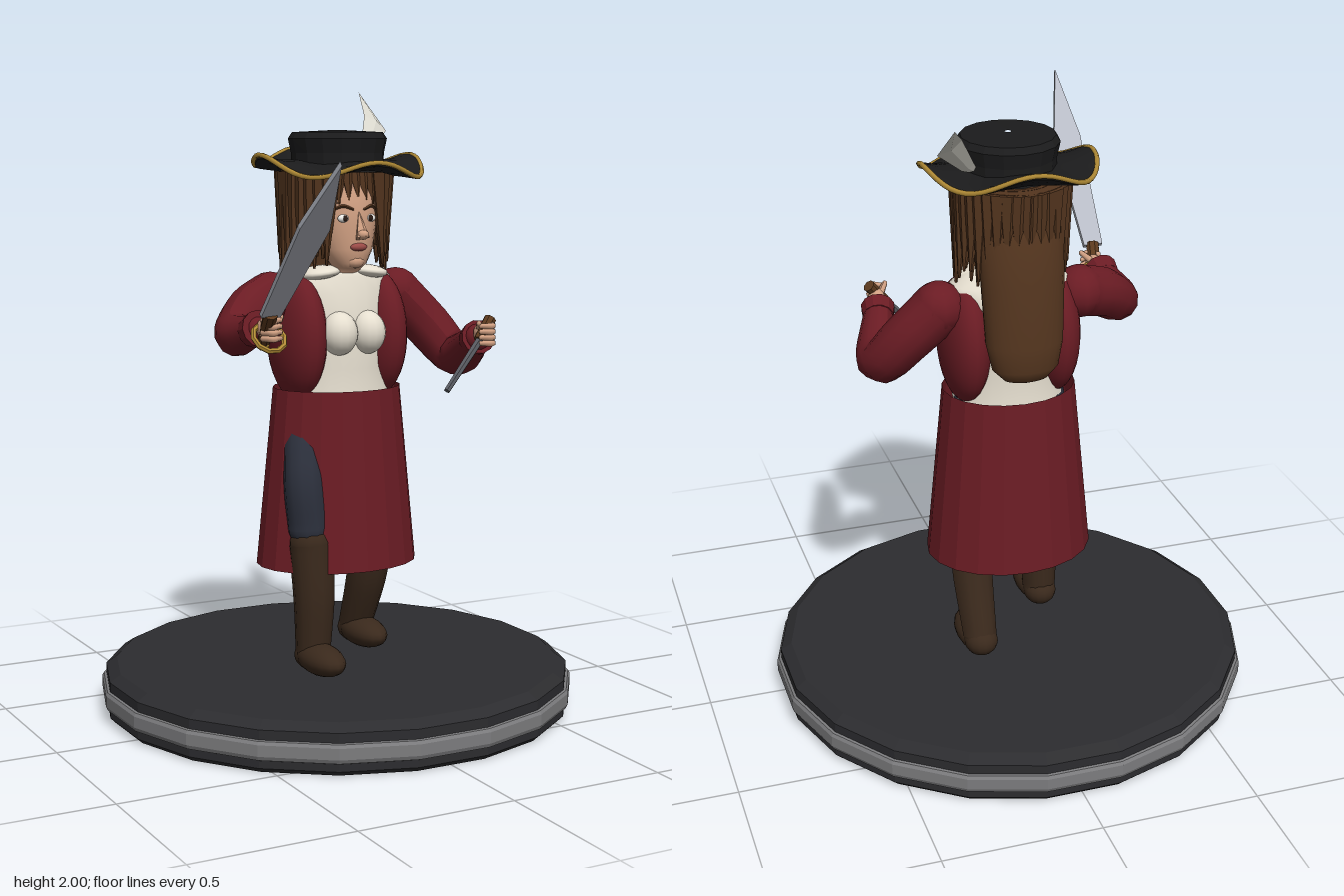
import * as THREE from 'three';
import { mergeVertices } from 'three/addons/utils/BufferGeometryUtils.js';

const V = (a) => new THREE.Vector3(...a);
const C = {
  coat: 0x6b1c24, shirt: 0xe6dfd0, skin: 0xd2a183, hair: 0x55361f, boot: 0x3a291c, hat: 0x1b1b1c,
  gold: 0xb08a35, pants: 0x2c303c, steel: 0xb6bac4, iron: 0x5a5c62, wood: 0x5c3a1e, base: 0x2c2c2f,
  band: 0x7c7c7e, dark: 0x2a1c16, lip: 0x9c4c48, white: 0xf0eeea, feather: 0xd8d6cc,
};

function mesh(parent, name, geo, color, opts = {}) {
  const mat = new THREE.MeshStandardMaterial({ color, ...opts });
  const m = new THREE.Mesh(geo, mat);
  m.name = name;
  parent.add(m);
  return m;
}

function ball(parent, name, p, r, color, seg = 16) {
  const m = mesh(parent, name, new THREE.SphereGeometry(1, seg, Math.ceil(seg * 0.7)), color);
  m.position.set(...p);
  m.scale.set(...r);
  return m;
}

// Stack of horizontal ellipses, each ring = [y, rx, rz, cz]
function loft(rings, seg = 24) {
  const g = new THREE.LatheGeometry(rings.map((_, i) => new THREE.Vector2(1, i)), seg);
  const p = g.attributes.position;
  for (let i = 0; i < p.count; i++) {
    const [y, rx, rz, cz] = rings[Math.round(p.getY(i))];
    p.setXYZ(i, p.getX(i) * rx, y, p.getZ(i) * rz + cz);
  }
  g.deleteAttribute('normal');
  g.deleteAttribute('uv');
  const merged = mergeVertices(g);
  merged.computeVertexNormals();
  return merged;
}

// Tapered tube with rounded ends, through points with evenly spread radii
function limb(parent, name, pts, radii, color, seg = 12) {
  const group = new THREE.Group();
  group.name = name;
  parent.add(group);
  const path = new THREE.CatmullRomCurve3(pts.map(V));
  const n = 14;
  const g = new THREE.TubeGeometry(path, n, 1, seg);
  const p = g.attributes.position;
  const v = new THREE.Vector3();
  for (let i = 0; i < p.count; i++) {
    const u = Math.floor(i / (seg + 1)) / n;
    const f = u * (radii.length - 1);
    const k = Math.min(Math.floor(f), radii.length - 2);
    const r = THREE.MathUtils.lerp(radii[k], radii[k + 1], f - k);
    const c = path.getPointAt(u);
    v.fromBufferAttribute(p, i).sub(c).multiplyScalar(r).add(c);
    p.setXYZ(i, v.x, v.y, v.z);
  }
  g.computeVertexNormals();
  mesh(group, name + 'Tube', g, color);
  [[pts[0], radii[0]], [pts.at(-1), radii.at(-1)]].forEach(([q, r]) => ball(group, name + 'End', q, [r, r, r], color, seg));
  return group;
}

function rod(parent, name, a, b, ra, rb, color, seg = 8) {
  const d = V(b).sub(V(a));
  const m = mesh(parent, name, new THREE.CylinderGeometry(rb, ra, d.length(), seg), color, { flatShading: true });
  m.position.copy(V(a)).addScaledVector(d, 0.5);
  m.quaternion.setFromUnitVectors(new THREE.Vector3(0, 1, 0), d.normalize());
  return m;
}

function buildBase(root) {
  const disc = (name, pts, color) => {
    const g = new THREE.LatheGeometry(pts.map((q) => new THREE.Vector2(...q)), 20).rotateY(Math.PI / 20);
    mesh(root, name, g, color, { flatShading: true }).position.z = -0.08;
  };
  disc('baseBottom', [[0, 0], [0.745, 0], [0.76, 0.015], [0.76, 0.04]], C.base);
  disc('baseBand', [[0.75, 0.035], [0.768, 0.042], [0.774, 0.055], [0.774, 0.09], [0.768, 0.1], [0.74, 0.107]], C.band);
  disc('baseTop', [[0.76, 0.1], [0.76, 0.132], [0.725, 0.155], [0, 0.155]], C.base);
}

function buildLegs(root) {
  limb(root, 'rightTrouser', [[-0.11, 1.0, -0.08], [-0.17, 0.78, 0.025], [-0.16, 0.62, 0.035]], [0.075, 0.065, 0.068], C.pants);
  limb(root, 'leftTrouser', [[0.11, 1.0, -0.08], [0.135, 0.78, -0.07], [0.135, 0.6, -0.08]], [0.075, 0.065, 0.068], C.pants);
  limb(root, 'rightBoot', [[-0.155, 0.57, 0.04], [-0.15, 0.4, 0.052], [-0.15, 0.22, 0.045]], [0.072, 0.066, 0.056], C.boot);
  limb(root, 'leftBoot', [[0.135, 0.57, -0.08], [0.135, 0.42, -0.115], [0.135, 0.22, -0.2]], [0.07, 0.066, 0.056], C.boot);
  [['right', -0.15, 0.1], ['left', 0.135, -0.145]].forEach(([s, x, z]) => {
    ball(root, s + 'Foot', [x, 0.205, z], [0.063, 0.05, 0.125], C.boot);
    ball(root, s + 'Heel', [x, 0.205, z - 0.065], [0.055, 0.05, 0.06], C.boot);
  });
}

function buildBody(root) {
  // Open skirt of flat panels
  const skirt = loft([[0.48, 0.27, 0.22, -0.08], [1.055, 0.213, 0.176, -0.078]], 20);
  mesh(root, 'skirt', skirt, C.coat, { flatShading: true, side: THREE.DoubleSide });
  mesh(root, 'shirt', loft([
    [1.02, 0.18, 0.13, -0.07], [1.12, 0.16, 0.12, -0.07], [1.25, 0.17, 0.13, -0.075],
    [1.36, 0.2, 0.115, -0.085], [1.41, 0.19, 0.1, -0.085], [1.435, 0.13, 0.085, -0.08], [1.44, 0.05, 0.05, -0.07],
  ]), C.shirt);
  [-1, 1].forEach((s) => {
    ball(root, 'bust', [s * 0.05, 1.235, 0.035], [0.06, 0.07, 0.065], C.shirt);
    ball(root, 'jacketSide', [s * 0.145, 1.22, -0.075], [0.079, 0.205, 0.15], C.coat, 24);
    const collar = ball(root, 'collar', [s * 0.085, 1.425, -0.035], [0.07, 0.022, 0.07], C.shirt);
    collar.rotation.z = -s * 0.12;
  });
}

function buildArms(root) {
  limb(root, 'rightArm', [[-0.225, 1.345, -0.1], [-0.32, 1.31, -0.05], [-0.4, 1.25, 0.02], [-0.41, 1.275, 0.18]], [0.083, 0.078, 0.066, 0.045], C.coat);
  limb(root, 'leftArm', [[0.23, 1.345, -0.1], [0.33, 1.24, -0.07], [0.395, 1.145, 0.0], [0.34, 1.22, 0.23]], [0.083, 0.078, 0.065, 0.045], C.coat);
  rod(root, 'rightCuff', [-0.41, 1.27, 0.16], [-0.408, 1.283, 0.205], 0.05, 0.057, C.coat, 12);
  rod(root, 'leftCuff', [0.347, 1.21, 0.2], [0.337, 1.225, 0.245], 0.05, 0.055, C.coat, 12);
  // Palms with curled fingers
  [['right', [-0.402, 1.285, 0.24]], ['left', [0.33, 1.24, 0.285]]].forEach(([s, [x, y, z]]) => {
    const k = s === 'right' ? 1 : -1;
    ball(root, s + 'Palm', [x, y, z], [0.028, 0.033, 0.042], C.skin, 10);
    for (let i = 0; i < 4; i++) {
      const fy = y - 0.027 + i * 0.018;
      limb(root, s + 'Finger', [[x - k * 0.02, fy, z + 0.02], [x, fy, z + 0.05], [x + k * 0.03, fy, z + 0.035]], [0.01, 0.01, 0.008], C.skin, 6);
    }
    limb(root, s + 'Thumb', [[x + k * 0.015, y + 0.02, z], [x + k * 0.035, y + 0.035, z + 0.03]], [0.012, 0.009], C.skin, 6);
  });
}

function buildWeapons(root) {
  // Broad pointed sword
  const outline = [[-0.032, 0], [0.032, 0], [0.029, 0.42], [-0.048, 0.703], [-0.068, 0.43]];
  const shape = new THREE.Shape(outline.map((q) => new THREE.Vector2(...q)));
  const geo = new THREE.ExtrudeGeometry(shape, { depth: 0.016, bevelEnabled: false }).translate(0, 0, -0.008);
  const blade = mesh(root, 'swordBlade', geo, C.steel, { flatShading: true });
  blade.position.set(-0.418, 1.33, 0.3);
  blade.rotation.x = 0.876;
  rod(root, 'swordGrip', [-0.4, 1.245, 0.215], [-0.418, 1.335, 0.305], 0.02, 0.022, C.wood);
  const guard = mesh(root, 'swordGuard', new THREE.TorusGeometry(0.05, 0.009, 6, 10), C.gold, { flatShading: true });
  guard.position.set(-0.4, 1.26, 0.255);
  guard.rotation.x = -0.7;
  ball(root, 'swordPommel', [-0.398, 1.235, 0.21], [0.02, 0.02, 0.02], C.gold, 8);
  // Short rod held downward
  rod(root, 'daggerBlade', [0.33, 1.25, 0.3], [0.162, 1.075, 0.345], 0.014, 0.01, C.iron, 6);
  rod(root, 'daggerGrip', [0.355, 1.285, 0.285], [0.3, 1.222, 0.308], 0.02, 0.018, C.wood);
}

function buildHead(root) {
  mesh(root, 'head', loft([
    [1.36, 0.065, 0.06, -0.06], [1.42, 0.052, 0.055, -0.05], [1.44, 0.045, 0.055, -0.005], [1.455, 0.058, 0.065, 0.0],
    [1.5, 0.083, 0.084, -0.01], [1.58, 0.1, 0.098, -0.022], [1.66, 0.1, 0.098, -0.025], [1.74, 0.08, 0.08, -0.04],
  ]), C.skin);
  const nose = mesh(root, 'nose', new THREE.ConeGeometry(0.024, 0.09, 5), C.skin, { flatShading: true });
  nose.position.set(0, 1.58, 0.085);
  nose.rotation.x = -0.3;
  ball(root, 'noseTip', [0, 1.548, 0.1], [0.02, 0.016, 0.022], C.skin, 8);
  ball(root, 'lips', [0, 1.508, 0.073], [0.03, 0.013, 0.013], C.lip, 10);
  ball(root, 'chin', [0, 1.462, 0.05], [0.03, 0.022, 0.022], C.skin, 10);
  [-1, 1].forEach((s) => {
    ball(root, 'eye', [s * 0.046, 1.598, 0.06], [0.022, 0.013, 0.012], C.white, 10);
    ball(root, 'pupil', [s * 0.045, 1.598, 0.069], [0.009, 0.01, 0.006], C.dark, 8);
    limb(root, 'eyebrow', [[s * 0.02, 1.626, 0.072], [s * 0.05, 1.636, 0.062], [s * 0.078, 1.622, 0.042]], [0.004, 0.006, 0.003], C.hair, 5);
  });
  // Hair cap, long fall down the back and ragged locks
  ball(root, 'hairCap', [0, 1.63, -0.125], [0.155, 0.14, 0.155], C.hair, 24);
  mesh(root, 'hairFall', loft([
    [1.13, 0.01, 0.01, -0.25], [1.145, 0.07, 0.04, -0.25], [1.18, 0.105, 0.062, -0.245], [1.26, 0.122, 0.078, -0.235],
    [1.45, 0.13, 0.09, -0.215], [1.62, 0.135, 0.1, -0.185], [1.74, 0.1, 0.08, -0.16],
  ]), C.hair);
  for (let row = 0; row < 2; row++) {
    for (let i = 0; i < 15; i++) {
      const a = 0.62 + (i + row * 0.5) * 0.178;
      const jitter = Math.sin(i * 7.3 + row * 3.1);
      const r = 1 - row * 0.09;
      const end = 1.45 + 0.035 * jitter + row * 0.02 + (i > 9 ? 0.05 : 0);
      [-1, 1].forEach((s) => {
        const x = s * 0.165 * r * Math.sin(a);
        const z = -0.1 + 0.18 * r * Math.cos(a);
        rod(root, 'lock', [x * 1.04, end, z], [x * 0.93, 1.74, z * 0.95], 0.004, 0.035, C.hair, 6);
      });
    }
  }
  for (let i = -3; i <= 3; i++) {
    rod(root, 'fringe', [i * 0.03, 1.665 - Math.abs(i) * 0.012, 0.07 - i * i * 0.004], [i * 0.026, 1.74, 0.04], 0.004, 0.022, C.hair, 5);
  }
}

function buildHat(root) {
  const R = 0.267, cz = -0.07;
  const edge = (a) => 0.026 * Math.cos(4 * a) - 0.022 * Math.cos(a);
  const brim = new THREE.LatheGeometry([[0.262, 1.758], [R, 1.772], [0.21, 1.768], [0.13, 1.775], [0.13, 1.755], [0.2, 1.745], [0.262, 1.758]]
    .map((q) => new THREE.Vector2(...q)), 32);
  const p = brim.attributes.position;
  for (let i = 0; i < p.count; i++) {
    const x = p.getX(i), z = p.getZ(i);
    p.setY(i, p.getY(i) + edge(Math.atan2(x, z)) * (Math.hypot(x, z) / R) ** 3);
  }
  brim.computeVertexNormals();
  mesh(root, 'hatBrim', brim, C.hat, { side: THREE.DoubleSide }).position.z = cz;
  const rim = [];
  for (let i = 0; i < 32; i++) {
    const a = (i / 32) * Math.PI * 2;
    rim.push([R * Math.sin(a), 1.768 + edge(a), R * Math.cos(a) + cz]);
  }
  mesh(root, 'hatTrim', new THREE.TubeGeometry(new THREE.CatmullRomCurve3(rim.map(V), true), 64, 0.008, 6, true), C.gold);
  mesh(root, 'hatCrown', loft([
    [1.74, 0.145, 0.15, cz], [1.8, 0.148, 0.15, cz], [1.845, 0.158, 0.158, cz], [1.865, 0.145, 0.145, cz], [1.872, 0.01, 0.01, cz],
  ], 16), C.hat, { flatShading: true });
  // Bent feather: four-sided sections along a short spine
  const spine = [[0.13, 1.785, -0.14], [0.15, 1.8, -0.155], [0.232, 1.895, -0.245], [0.27, 2.0, -0.43]];
  const widths = [0.3, 0.5, 1, 0];
  const pos = [], idx = [];
  spine.forEach(([x, y, z], i) => {
    const w = widths[i];
    [[0.034, -0.024, 0.012], [0.004, 0.008, 0.003], [-0.034, 0.024, -0.012], [-0.004, -0.008, -0.003]]
      .forEach((d) => pos.push(x + d[0] * w, y + d[1] * w, z + d[2] * w));
    if (i) for (let k = 0; k < 4; k++) {
      const a = (i - 1) * 4 + k, b = (i - 1) * 4 + ((k + 1) % 4);
      idx.push(a, b, a + 4, b, b + 4, a + 4);
    }
  });
  const g = new THREE.BufferGeometry();
  g.setAttribute('position', new THREE.Float32BufferAttribute(pos, 3));
  g.setIndex(idx);
  g.computeVertexNormals();
  mesh(root, 'feather', g, C.feather, { flatShading: true, side: THREE.DoubleSide });
}

export function createModel() {
  const root = new THREE.Group();
  root.name = 'figureOnBase';
  [buildBase, buildLegs, buildBody, buildArms, buildWeapons, buildHead, buildHat].forEach((build) => build(root));
  return root;
}
